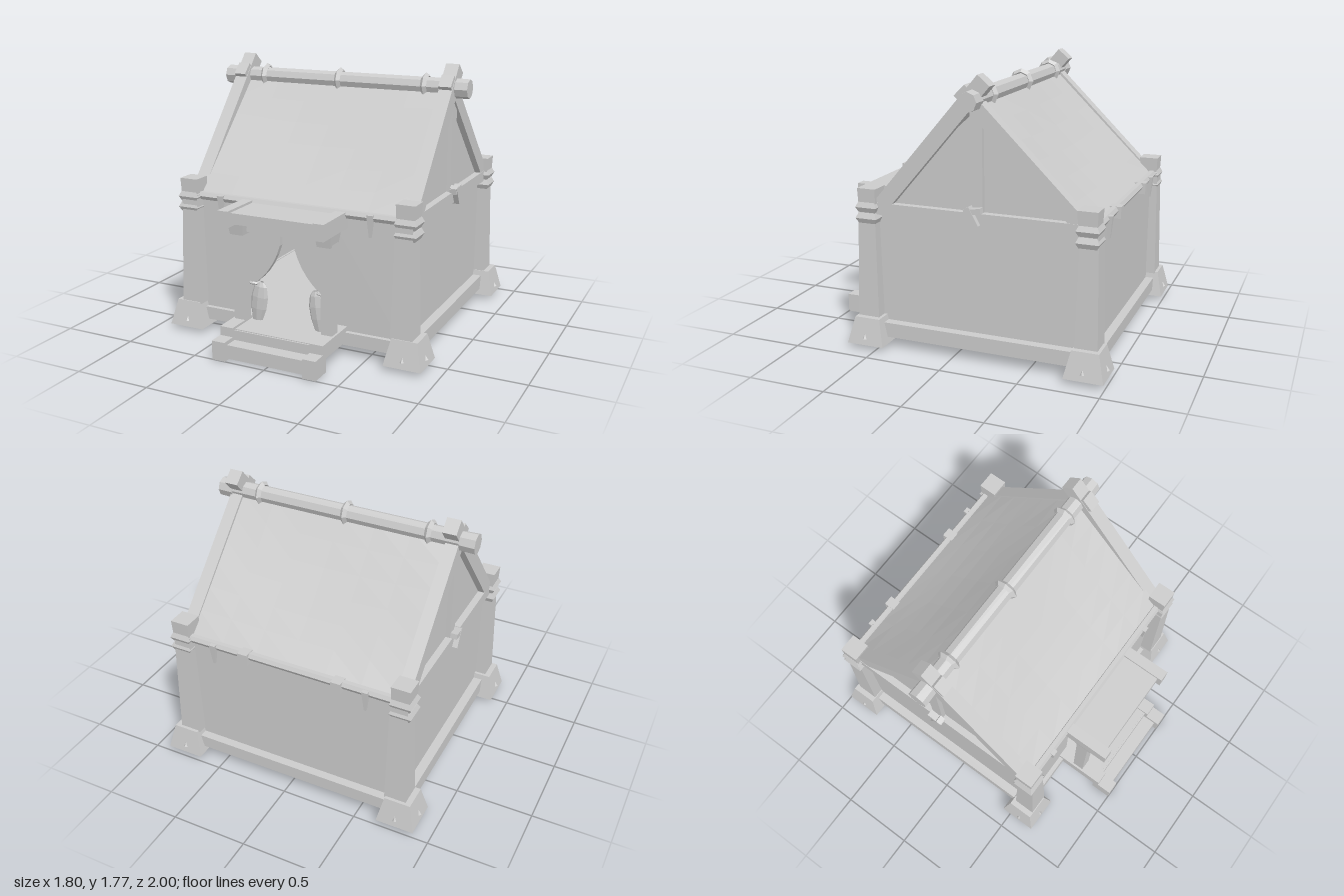
import * as THREE from 'three';

const mat = new THREE.MeshStandardMaterial({ color: 0xcccccc, flatShading: true, side: THREE.DoubleSide });

export function createModel() {
  const root = new THREE.Group();
  const add = (name, geo, x = 0, y = 0, z = 0) => {
    const m = new THREE.Mesh(geo, mat);
    m.name = name;
    m.position.set(x, y, z);
    root.add(m);
    return m;
  };
  // Box given by its limits on each axis
  const box = (name, x0, x1, y0, y1, z0, z1) =>
    add(name, new THREE.BoxGeometry(x1 - x0, y1 - y0, z1 - z0), (x0 + x1) / 2, (y0 + y1) / 2, (z0 + z1) / 2);
  // Square block tapering from half-width b (bottom) to t (top)
  const taper = (name, x, z, y0, y1, b, t) => {
    const g = new THREE.BoxGeometry(2, y1 - y0, 2);
    const p = g.attributes.position;
    for (let i = 0; i < p.count; i++) {
      const s = p.getY(i) < 0 ? b : t;
      p.setX(i, p.getX(i) * s);
      p.setZ(i, p.getZ(i) * s);
    }
    g.computeVertexNormals();
    return add(name, g, x, (y0 + y1) / 2, z);
  };
  // Beam in a plane of constant x, from [z, y] to [z, y]
  const slopedBeam = (name, x, [z0, y0], [z1, y1], w, t) => {
    const dz = z1 - z0, dy = y1 - y0;
    const m = add(name, new THREE.BoxGeometry(w, Math.hypot(dz, dy), t), x, (y0 + y1) / 2, (z0 + z1) / 2);
    m.rotation.x = Math.atan2(dz, dy);
  };
  // Sagging cloth between two heights, each [z, y]
  const cloth = (name, width, [z0, y0], [z1, y1], depth) => {
    const g = new THREE.PlaneGeometry(width, 1, 6, 6);
    const p = g.attributes.position;
    for (let i = 0; i < p.count; i++) {
      const t = p.getY(i) + 0.5, x = p.getX(i);
      const sag = depth * Math.sin(Math.PI * t) * Math.cos(x / width * Math.PI);
      p.setXYZ(i, x, y0 + (y1 - y0) * t - sag, z0 + (z1 - z0) * t);
    }
    g.computeVertexNormals();
    add(name, g);
  };
  const polygon = (points) => new THREE.Shape(points.map(([x, y]) => new THREE.Vector2(x, y)));

  // Side walls with gables, back wall and floor
  const gable = polygon([[0.56, 0.12], [0.56, 0.92], [-0.14, 1.55], [-0.87, 0.92], [-0.87, 0.12]]);
  for (const x of [0.745, -0.72]) {
    const wall = new THREE.ExtrudeGeometry(gable, { depth: 0.025, bevelEnabled: false });
    wall.rotateY(-Math.PI / 2);
    add('sideWall', wall, x);
  }
  box('backWall', -0.73, 0.73, 0.12, 0.93, -0.87, -0.845);
  box('floor', -0.73, 0.73, 0.12, 0.16, -0.86, 0.55);
  // Front wall with the open doorway
  const front = polygon([[-0.73, 0.12], [0.73, 0.12], [0.73, 0.93], [-0.73, 0.93]]);
  front.holes.push(polygon([[-0.285, 0.165], [-0.285, 0.83], [0.27, 0.83], [0.27, 0.165]]));
  add('frontWall', new THREE.ExtrudeGeometry(front, { depth: 0.025, bevelEnabled: false }), 0, 0, 0.535);

  // Sagging roof cloths, set lower than the rafters
  cloth('frontRoof', 1.44, [0.555, 0.935], [-0.12, 1.615], 0.035);
  cloth('backRoof', 1.44, [-0.86, 0.935], [-0.16, 1.615], 0.035);

  // Sill and eave pole at front and back
  for (const [z0, z1, side] of [[0.5, 0.59, 'front'], [-0.925, -0.83, 'back']]) {
    box(side + 'Sill', -0.72, 0.72, 0.07, 0.155, z0, z1);
    const zc = side === 'front' ? 0.57 : -0.88;
    const pole = add(side + 'EavePole', new THREE.CylinderGeometry(0.028, 0.028, 1.5, 6), 0, 0.92, zc);
    pole.rotation.z = Math.PI / 2;
    // Pegs holding the roof cloth
    for (const x of [-0.53, 0.52]) {
      const peg = add('eavePeg', new THREE.CylinderGeometry(0.028, 0.01, 0.14, 4), x, 0.87, zc + Math.sign(zc) * 0.025);
      peg.rotation.y = Math.PI / 4;
    }
  }
  for (const x of [-0.34, 0.3]) box('eaveClamp', x - 0.033, x + 0.033, 0.87, 0.945, -0.925, -0.85);

  for (const s of [-1, 1]) {
    // Side frame
    box('sideSill', s * 0.755 - 0.05, s * 0.755 + 0.05, 0.07, 0.165, -0.8, 0.52);
    box('sideBeam', s * 0.745 - 0.045, s * 0.745 + 0.045, 0.87, 0.945, -0.8, 0.52);
    box('gablePost', s * 0.74 - 0.035, s * 0.74 + 0.035, 0.93, 1.56, -0.195, -0.115);
    const knot = add('gableKnot', new THREE.BoxGeometry(0.05, 0.13, 0.035), s * 0.8, 0.925, -0.14);
    knot.rotation.x = 0.5;
    const wrap = add('gableKnotWrap', new THREE.BoxGeometry(0.045, 0.035, 0.11), s * 0.8, 0.96, -0.145);
    wrap.rotation.x = 0.15;
    // Rafters crossing above the ridge
    slopedBeam('frontRafter', s * 0.745, [0.48, 0.93], [-0.21, 1.738], 0.09, 0.1);
    slopedBeam('backRafter', s * 0.745, [-0.79, 0.95], [-0.055, 1.675], 0.084, 0.095);

    // Corner posts with feet, caps and rope rings
    for (const [z, d] of [[0.572, 1], [-0.862, -1]]) {
      taper('cornerPost', s * 0.748, z, 0.19, 0.93, 0.072, 0.056);
      taper('postCap', s * 0.755, z - d * 0.007, 0.92, 1.035, 0.057, 0.062);
      taper('postFoot', s * 0.772, z - 0.007, 0.03, 0.2, 0.124, 0.085);
      for (const y of [0.845, 0.915]) {
        taper('postRingLower', s * 0.758, z - d * 0.005, y - 0.032, y, 0.056, 0.071);
        taper('postRingUpper', s * 0.758, z - d * 0.005, y, y + 0.032, 0.071, 0.056);
      }
      // Nails in the feet
      const nailX = add('footNail', new THREE.ConeGeometry(0.014, 0.035, 4), s * 0.883, 0.085, z);
      nailX.rotation.z = s * 0.23;
      const nailZ = add('footNail', new THREE.ConeGeometry(0.014, 0.035, 4), s * 0.77, 0.085, z + d * 0.111 - 0.007);
      nailZ.rotation.x = -d * 0.23;
    }
  }

  // Ridge pole with thicker ends and binding rings
  const ridge = add('ridgePole', new THREE.CylinderGeometry(0.057, 0.057, 1.76, 8), -0.01, 1.625, -0.14);
  ridge.rotation.z = Math.PI / 2;
  for (const x of [-0.84, 0.825]) {
    const end = add('ridgePoleEnd', new THREE.CylinderGeometry(0.065, 0.062, 0.1, 8), x, 1.62, -0.14);
    end.rotation.z = Math.PI / 2;
  }
  for (const x of [-0.59, -0.03, 0.58]) {
    const ring = add('ridgeRing', new THREE.TorusGeometry(0.06, 0.021, 4, 8), x, 1.63, -0.14);
    ring.rotation.y = Math.PI / 2;
  }

  // Porch steps, canopy and lintel
  box('upperStep', -0.29, 0.28, 0.125, 0.17, 0.53, 0.87);
  box('upperStepRiser', -0.29, 0.28, 0.09, 0.165, 0.82, 0.88);
  box('lowerStep', -0.29, 0.28, 0.01, 0.1, 0.87, 0.97);
  box('canopy', -0.3, 0.29, 0.85, 0.92, 0.55, 0.86);
  box('lintel', -0.3, 0.29, 0.77, 0.855, 0.65, 0.73);

  for (const s of [-1, 1]) {
    const cx = -0.008;
    const span = (name, a, b, y0, y1, z0, z1) =>
      box(name, cx + (s > 0 ? a : -b), cx + (s > 0 ? b : -a), y0, y1, z0, z1);
    span('upperStepEnd', 0.27, 0.36, 0.09, 0.185, 0.56, 0.9);
    span('lowerStepEnd', 0.27, 0.36, 0, 0.125, 0.86, 1);
    span('canopyBeam', 0.29, 0.362, 0.83, 0.935, 0.55, 0.89);
    taper('porchCapital', cx + s * 0.303, 0.718, 0.755, 0.835, 0.045, 0.056).scale.z = 1.25;
    taper('porchPost', cx + s * 0.308, 0.71, 0.18, 0.77, 0.038, 0.042);

    // Curtain drawn to the side: swag above, tied bundle below
    const swag = new THREE.Shape();
    swag.moveTo(s * 0.28, 0.78);
    swag.lineTo(s * 0.045, 0.78);
    swag.lineTo(s * 0.05, 0.69);
    swag.quadraticCurveTo(s * 0.1, 0.52, s * 0.23, 0.42);
    swag.lineTo(s * 0.28, 0.42);
    add('curtainSwag', new THREE.ExtrudeGeometry(swag, { depth: 0.035, bevelEnabled: false, curveSegments: 5 }), cx, 0, 0.64);
    const fold = [[0.02, 0.13], [0.045, 0.1], [0.06, 0.03], [0.056, -0.05], [0.035, -0.135]].map(([r, y]) => new THREE.Vector2(r, y));
    const bundle = add('curtainBundle', new THREE.LatheGeometry(fold, 8), cx + s * 0.21, 0.3, 0.665);
    bundle.scale.z = 0.5;
    bundle.rotation.z = s * 0.12;
    const tie = add('curtainTie', new THREE.TorusGeometry(0.032, 0.01, 4, 8), cx + s * 0.24, 0.42, 0.66);
    tie.rotation.x = Math.PI / 2;
  }
  return root;
}
